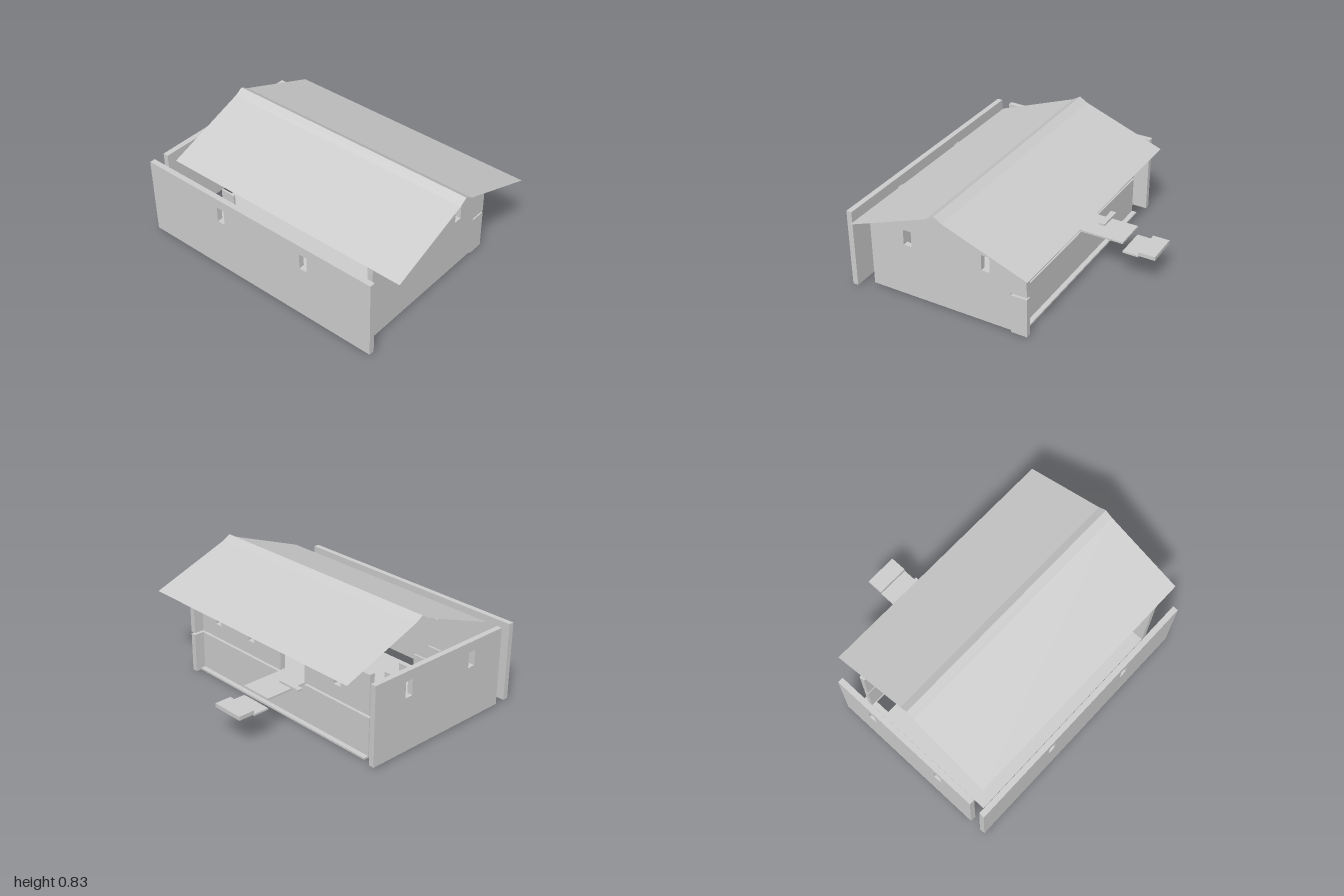
import * as THREE from 'three';

const grey = new THREE.MeshStandardMaterial({ color: 0xcccccc });
grey.name = 'plain grey';
const greySheet = new THREE.MeshStandardMaterial({ color: 0xcccccc, side: THREE.DoubleSide });
greySheet.name = 'plain grey sheet';

const T = 0.04; // wall thickness

function rectPath(u0, u1, v0, v1) {
  return new THREE.Path([[u0, v0], [u0, v1], [u1, v1], [u1, v0]].map(p => new THREE.Vector2(...p)));
}

// Flat panel from an outline, with rectangular openings
function panel(points, holes, depth) {
  const shape = new THREE.Shape(points.map(p => new THREE.Vector2(...p)));
  holes.forEach(h => shape.holes.push(rectPath(...h)));
  return new THREE.ExtrudeGeometry(shape, { depth, bevelEnabled: false });
}

const rect = (u0, u1, v0, v1) => [[u0, v0], [u1, v0], [u1, v1], [u0, v1]];
const windowAt = u => [u - 0.03, u + 0.03, 0.4, 0.513];

export function createModel() {
  const group = new THREE.Group();

  function add(name, geometry, material = grey) {
    const mesh = new THREE.Mesh(geometry, material);
    mesh.name = name;
    group.add(mesh);
    return mesh;
  }
  function box(name, x0, x1, y0, y1, z0, z1) {
    add(name, new THREE.BoxGeometry(x1 - x0, y1 - y0, z1 - z0))
      .position.set((x0 + x1) / 2, (y0 + y1) / 2, (z0 + z1) / 2);
  }
  // Wall facing z: outline in x, y
  function wallZ(name, points, holes, z) {
    add(name, panel(points, holes, T)).position.z = z;
  }
  // Wall facing x: outline in z, y, turned so that its first axis runs along z
  function wallX(name, points, holes, x) {
    const g = panel(points.map(([z, y]) => [-z, y]).reverse(),
      holes.map(([a, b, c, d]) => [-b, -a, c, d]), T);
    g.rotateY(Math.PI / 2);
    add(name, g).position.x = x;
  }

  // Free-standing front and right-hand walls
  wallZ('frontWall', rect(-1, 0.88, 0.015, 0.582), [windowAt(-0.355), windowAt(0.35)], 0.84);
  wallX('rightWall', rect(-0.41, 0.76, 0.015, 0.582), [windowAt(0.47), windowAt(-0.115)], -1);

  // Stepped gable wall, with a slot for the upper floor at its back edge
  const gable = [[0.76, 0.015], [-0.295, 0.015], [-0.295, 0], [-0.41, 0],
    [-0.41, 0.285], [-0.295, 0.285], [-0.295, 0.3], [-0.41, 0.3]];
  const step = 0.117;
  for (let i = 0; i < 10; i++) {
    const z = -0.41 + i * step;
    const y = 0.795 - 0.0428 * Math.abs(i - 4);
    const top = i <= 4 ? 0.622 + 0.0433 * i : y;
    gable.push([z, top], [z + step, top]);
  }
  wallX('steppedGable', gable.reverse(), [windowAt(0.47), windowAt(-0.115)], 0.76);

  // Ground floor with notches beside the gable and openings along the back
  const floor = panel(
    [[-0.88, 0.37], [-0.88, -0.76], [0.765, -0.76], [0.765, -0.648], [0.65, -0.648], [0.65, -0.3],
      [0.765, -0.3], [0.765, -0.18], [0.65, -0.18], [0.65, -0.064], [0.765, -0.064], [0.765, 0.37]],
    [[0.19, 0.65, 0.18, 0.29], [-0.84, 0.07, 0.18, 0.29]], 0.013);
  floor.rotateX(-Math.PI / 2);
  add('groundFloor', floor);

  // Back wall in two storeys, the upper one split by a doorway
  box('lowerBackWall', -0.88, 0.76, 0.013, 0.283, -0.335, -0.295);
  wallZ('upperBackWallLeft', rect(-0.06, 0.76, 0.3, 0.582), [windowAt(0.585), windowAt(0.235)], -0.335);
  wallZ('upperBackWallRight', rect(-0.88, -0.295, 0.3, 0.582), [windowAt(-0.595)], -0.335);

  // Landing and outside steps
  box('landing', -0.295, -0.06, 0.285, 0.298, -0.645, -0.295);
  box('doorSill', -0.36, -0.18, 0.298, 0.312, -0.45, -0.41);
  box('lowerStep', -0.295, -0.06, 0.218, 0.23, -0.76, -0.645);
  box('outerStep', -0.295, -0.06, 0.23, 0.258, -0.88, -0.76);

  // Inside stair boards
  for (let i = 0; i < 4; i++) {
    const z = 0.15 + i * 0.14, top = 0.3 + i * 0.015;
    box('stairBoard', -0.65, -0.54, top - 0.09, top, z, z + 0.015);
  }

  // Thin folded roof, steeper next to the ridge
  const profile = [[0.76, 0.58], [0.172, 0.8], [0.115, 0.835], [0.058, 0.8], [-0.53, 0.58]];
  const pos = [];
  for (let i = 0; i < profile.length - 1; i++) {
    const [[z0, y0], [z1, y1]] = [profile[i], profile[i + 1]];
    const a = [-0.88, y0, z0], b = [1, y0, z0], c = [1, y1, z1], d = [-0.88, y1, z1];
    pos.push(...a, ...b, ...c, ...a, ...c, ...d);
  }
  const roof = new THREE.BufferGeometry();
  roof.setAttribute('position', new THREE.Float32BufferAttribute(pos, 3));
  roof.computeVertexNormals();
  add('roof', roof, greySheet);

  return group;
}
